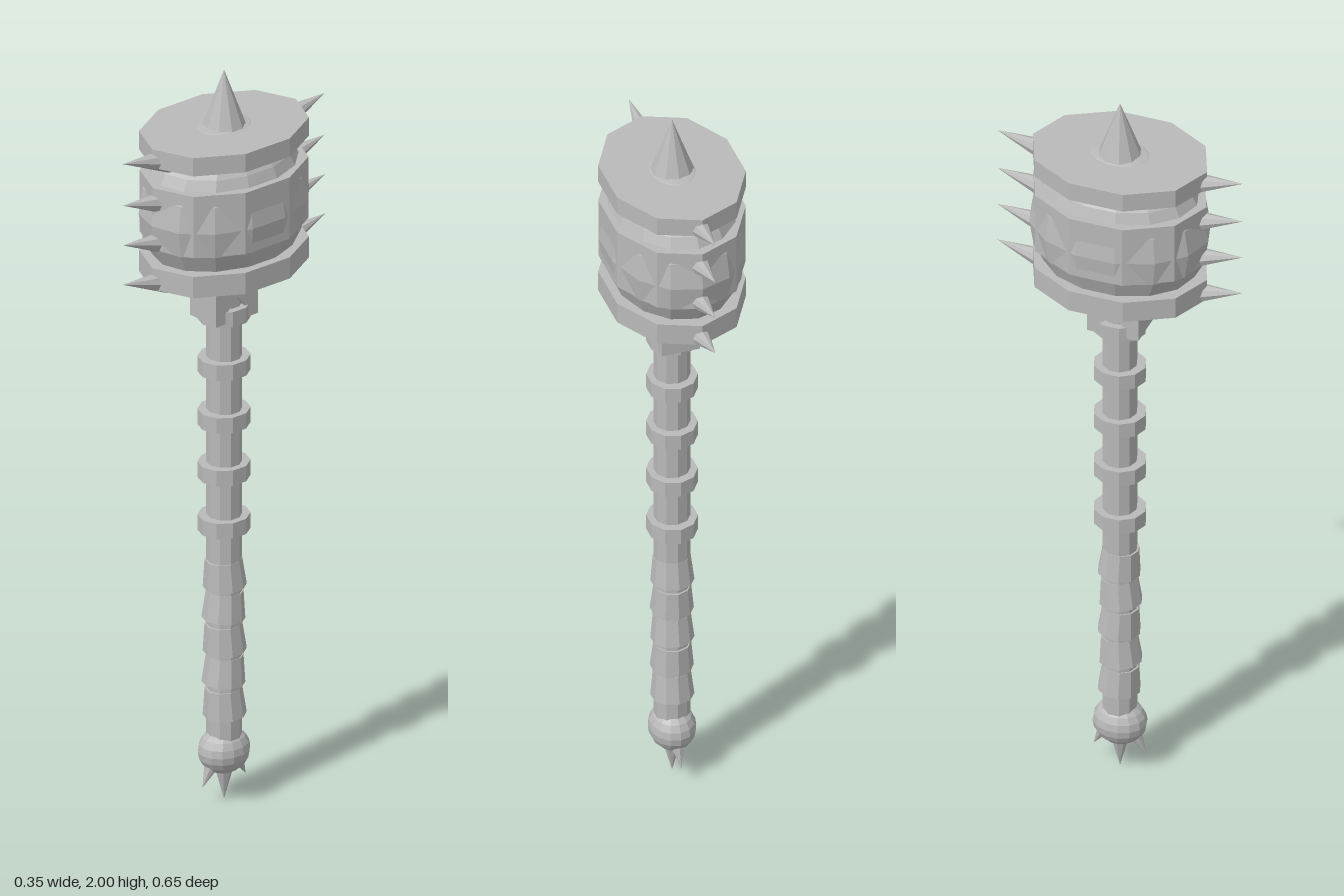
import * as THREE from 'three';

export function createModel() {
  const group = new THREE.Group();
  group.name = 'spikedMace';
  const metal = new THREE.MeshStandardMaterial({ color: 0xb9b9b9, flatShading: true });
  metal.name = 'grey metal';

  const add = (name, geometry) => {
    const mesh = new THREE.Mesh(geometry, metal);
    mesh.name = name;
    group.add(mesh);
    return mesh;
  };

  // Upright faceted drum with an elliptical plan
  const drum = (name, y0, y1, rx, rz, sides = 10) => {
    const g = new THREE.CylinderGeometry(1, 1, y1 - y0, sides);
    g.scale(rx, 1, rz).translate(0, (y0 + y1) / 2, 0);
    return add(name, g);
  };

  // Faceted ellipsoid with a vertex column on the z axis
  const ball = (name, y, rx, ry, rz, w, h) => {
    const g = new THREE.SphereGeometry(1, w, h).rotateY(Math.PI / 2);
    g.scale(rx, ry, rz).translate(0, y, 0);
    return add(name, g);
  };

  // Cone from a base centre to a tip, both in the yz plane
  const spike = (name, y0, z0, y1, z1, r, sides = 8) => {
    const base = new THREE.Vector3(0, y0, z0);
    const dir = new THREE.Vector3(0, y1, z1).sub(base);
    const length = dir.length();
    const g = new THREE.ConeGeometry(r, length, sides).translate(0, length / 2, 0);
    const mesh = add(name, g);
    mesh.position.copy(base);
    mesh.quaternion.setFromUnitVectors(new THREE.Vector3(0, 1, 0), dir.normalize());
  };

  // Head: barrel, three bands and the top spike
  ball('headBarrel', 1.64, 0.179, 0.222, 0.235, 14, 10);
  drum('topBand', 1.8, 1.85, 0.178, 0.232);
  drum('middleBand', 1.575, 1.743, 0.178, 0.23);
  drum('bottomBand', 1.466, 1.524, 0.178, 0.232);
  spike('topSpike', 1.845, 0, 2, 0, 0.057, 10);

  // Rows of upswept spikes on the front and back
  for (const side of [1, -1]) {
    for (const y of [1.838, 1.724, 1.615, 1.507]) {
      spike('headSpike', y - 0.034, side * 0.175, y, side * 0.327, 0.033);
    }
  }

  // Notched collar under the head
  const outline = [
    [-0.068, 1.45], [-0.068, 1.33], [-0.03, 1.33], [-0.03, 1.36], [0, 1.395],
    [0.03, 1.36], [0.03, 1.33], [0.068, 1.33], [0.068, 1.45], [0.03, 1.45],
    [0, 1.42], [-0.03, 1.45],
  ].map(([z, y]) => new THREE.Vector2(z, y));
  const collar = new THREE.ExtrudeGeometry(new THREE.Shape(outline), { depth: 0.1, bevelEnabled: false });
  collar.translate(0, 0, -0.05).rotateY(Math.PI / 2);
  add('collar', collar);

  // Shaft with evenly spaced rings
  drum('shaft', 0.17, 1.47, 0.046, 0.044);
  for (let i = 0; i < 5; i++) {
    const y = 0.741 + i * 0.1448;
    drum('shaftRing', y, y + 0.042, 0.064, 0.068);
  }

  // Grip: overlapping tapered wraps, each slightly tilted
  for (let i = 0; i < 5; i++) {
    const g = new THREE.CylinderGeometry(0.047, 0.055, 0.075, 10);
    const wrap = add('gripWrap', g);
    wrap.position.y = 0.272 + i * 0.088;
    wrap.rotation.x = 0.06 * (i % 2 ? -1 : 1);
  }

  // Pommel and its three claws
  ball('pommel', 0.137, 0.06, 0.062, 0.07, 14, 10);
  spike('pommelSpike', 0.09, 0, 0, 0, 0.024);
  for (const side of [1, -1]) {
    spike('pommelSpike', 0.115, side * 0.035, 0.05, side * 0.07, 0.022);
  }
  return group;
}
